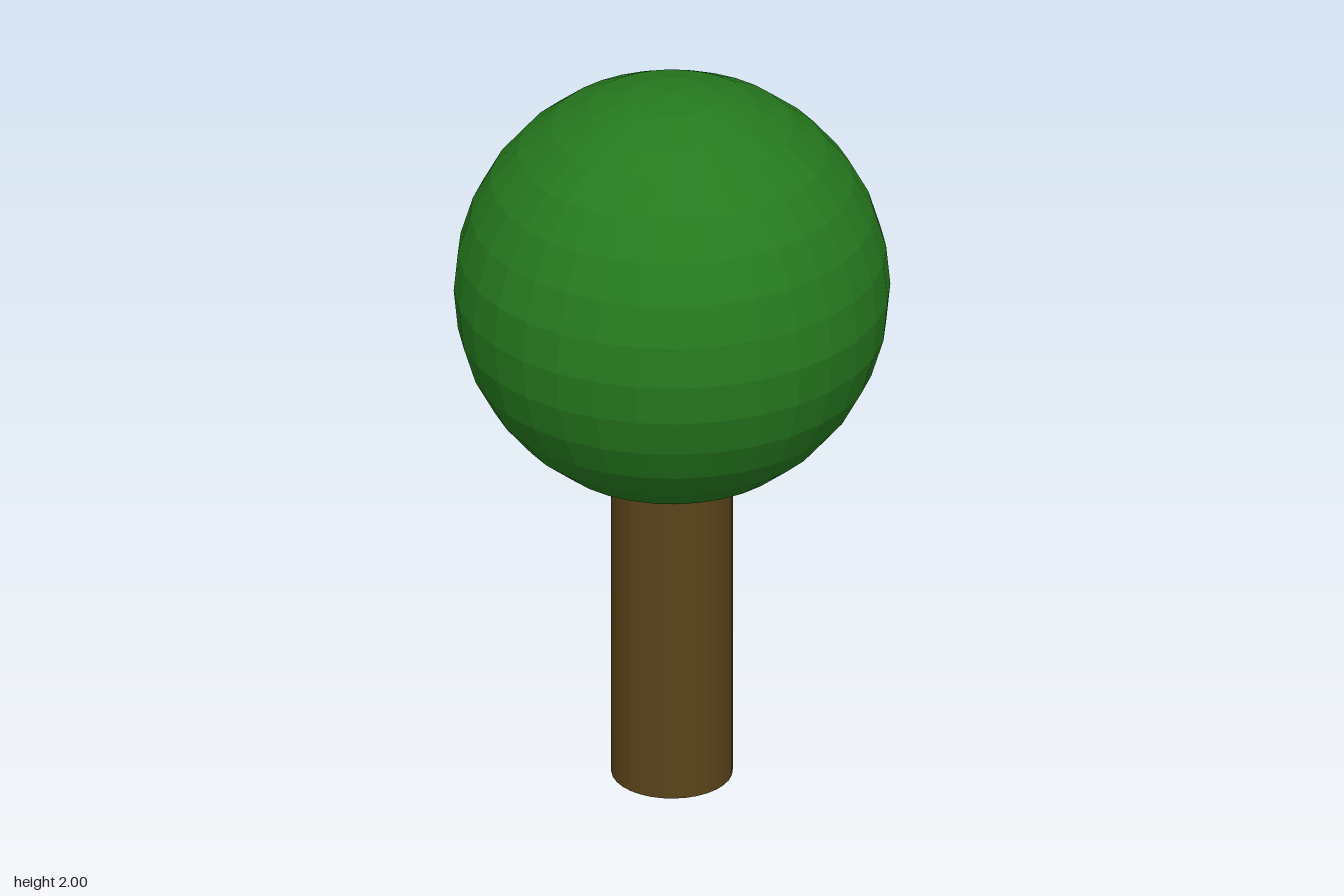
import * as THREE from 'three';

const CROWN_RADIUS = 0.571;
const TRUNK_RADIUS = 0.159;
const TRUNK_HEIGHT = 0.95;
const SIDES = 32;

function addPart(group, name, geometry, color, y) {
  const material = new THREE.MeshStandardMaterial({ color, flatShading: true });
  const mesh = new THREE.Mesh(geometry, material);
  mesh.name = name;
  mesh.position.y = y;
  group.add(mesh);
}

export function createModel() {
  const tree = new THREE.Group();
  tree.name = 'tree';

  // Straight trunk, its top tucked inside the crown
  addPart(tree, 'trunk',
    new THREE.CylinderGeometry(TRUNK_RADIUS, TRUNK_RADIUS, TRUNK_HEIGHT, SIDES),
    0x5a431a, TRUNK_HEIGHT / 2);

  // Faceted ball of foliage
  addPart(tree, 'crown',
    new THREE.SphereGeometry(CROWN_RADIUS, SIDES, SIDES / 2),
    0x267a1f, 2 - CROWN_RADIUS);

  return tree;
}
